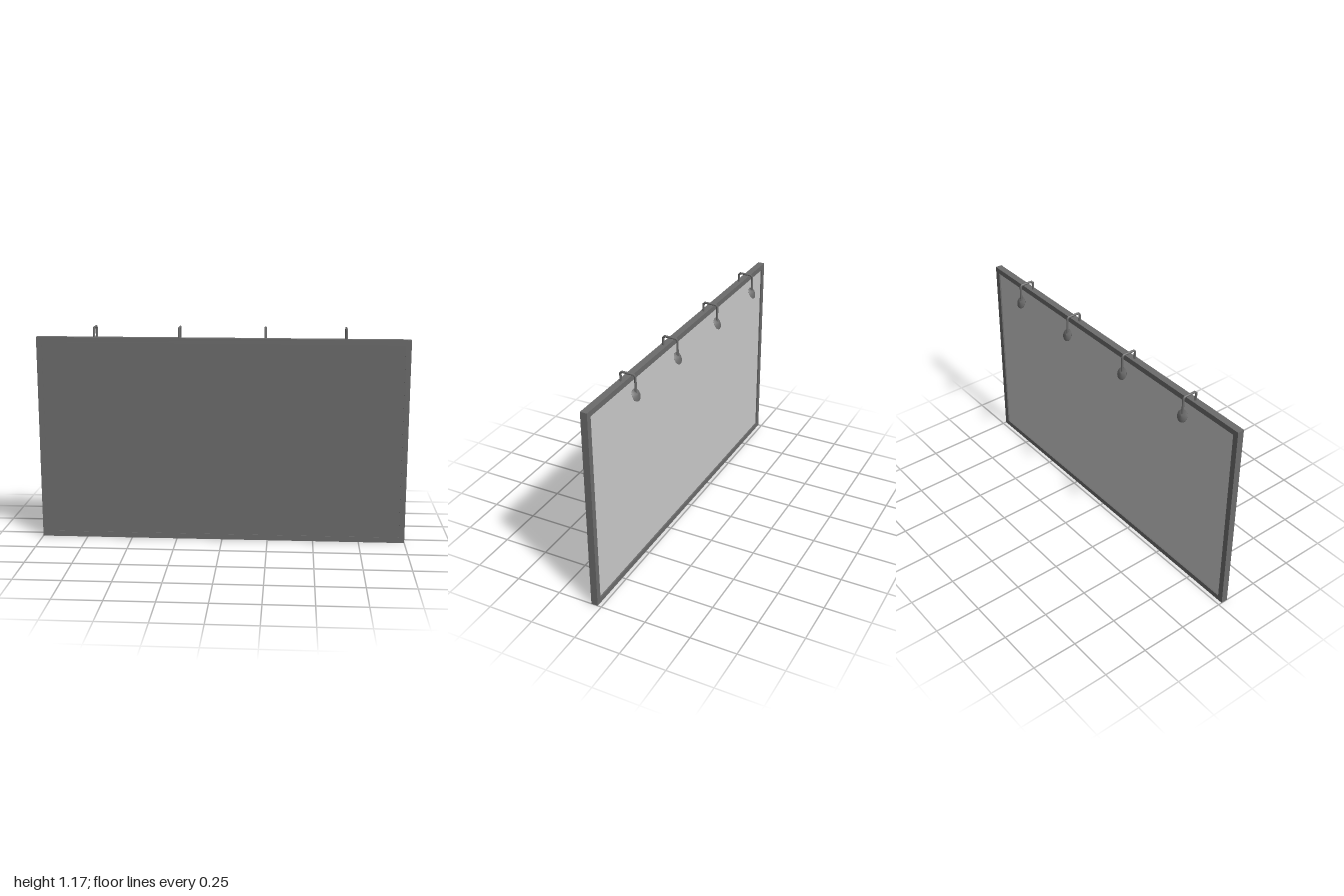
import * as THREE from 'three';

const W = 2, H = 1.117, BORDER = 0.03, BACK = 0.021, FRONT = 0.058;
const dark = new THREE.MeshStandardMaterial({ color: 0x6c6c6c });
const light = new THREE.MeshStandardMaterial({ color: 0xcccccc });

function addMesh(parent, name, geometry, material) {
  const mesh = new THREE.Mesh(geometry, material);
  mesh.name = name;
  parent.add(mesh);
  return mesh;
}

function rectangle(target, inset) {
  const x = W / 2 - inset, b = inset, t = H - inset;
  target.moveTo(-x, b).lineTo(x, b).lineTo(x, t).lineTo(-x, t).closePath();
  return target;
}

// Cylinder whose rings are moved onto a mitred path in the yz plane
function bentRod(points, radius) {
  const n = points.length - 1;
  const geometry = new THREE.CylinderGeometry(radius, radius, 1, 10, n);
  const pos = geometry.attributes.position;
  const rings = points.map((p, i) => {
    const a = p.clone().sub(points[Math.max(i - 1, 0)]).normalize();
    const b = points[Math.min(i + 1, n)].clone().sub(p).normalize();
    const tangent = a.clone().add(b).normalize();
    const cosHalf = tangent.dot(i < n ? b : a);
    return { p, nz: -tangent.y / cosHalf, ny: tangent.x / cosHalf };
  });
  for (let i = 0; i < pos.count; i++) {
    const { p, ny, nz } = rings[Math.round((0.5 - pos.getY(i)) * n)];
    const s = pos.getZ(i);
    pos.setXYZ(i, pos.getX(i), p.y + ny * s, p.x + nz * s);
  }
  geometry.computeVertexNormals();
  return geometry;
}

function createLamp() {
  const lamp = new THREE.Group();
  lamp.name = 'lamp';

  // Arm from the top edge over to the back; points are (z, y)
  const path = [[0.042, 1.1], [0.042, 1.158], [0.033, 1.167],
    [-0.03, 1.167], [-0.039, 1.158], [-0.039, 1.07]];
  addMesh(lamp, 'lampArm', bentRod(path.map(([z, y]) => new THREE.Vector2(z, y)), 0.006), dark);

  // Shallow round head, tilted down towards the board
  const profile = [[0, 0], [0.033, 0], [0.033, 0.001], [0.018, 0.008], [0, 0.012]];
  const head = addMesh(lamp, 'lampHead',
    new THREE.LatheGeometry(profile.map(([r, y]) => new THREE.Vector2(r, y)), 20), dark);
  head.position.set(0, 1.06, -0.04);
  head.quaternion.setFromUnitVectors(new THREE.Vector3(0, 1, 0),
    new THREE.Vector3(0, 0.46, -0.888).normalize());
  return lamp;
}

export function createModel() {
  const model = new THREE.Group();
  model.name = 'framedBoard';

  // Rectangular border
  const outline = rectangle(new THREE.Shape(), 0);
  outline.holes.push(rectangle(new THREE.Path(), BORDER));
  const frame = addMesh(model, 'frame',
    new THREE.ExtrudeGeometry(outline, { depth: FRONT - BACK, bevelEnabled: false }), dark);
  frame.position.z = BACK;

  // Recessed panels: dark front panel, light display face behind it
  const panel = (name, z0, z1, material) => {
    const mesh = addMesh(model, name,
      new THREE.BoxGeometry(W - 2 * BORDER, H - 2 * BORDER, z1 - z0), material);
    mesh.position.set(0, H / 2, (z0 + z1) / 2);
  };
  panel('frontPanel', 0.036, FRONT - 0.002, dark);
  panel('displayPanel', BACK + 0.008, 0.036, light);

  // Row of lamps along the top edge
  for (const x of [-0.687, -0.23, 0.23, 0.66]) {
    const lamp = createLamp();
    lamp.position.x = x;
    model.add(lamp);
  }
  return model;
}
